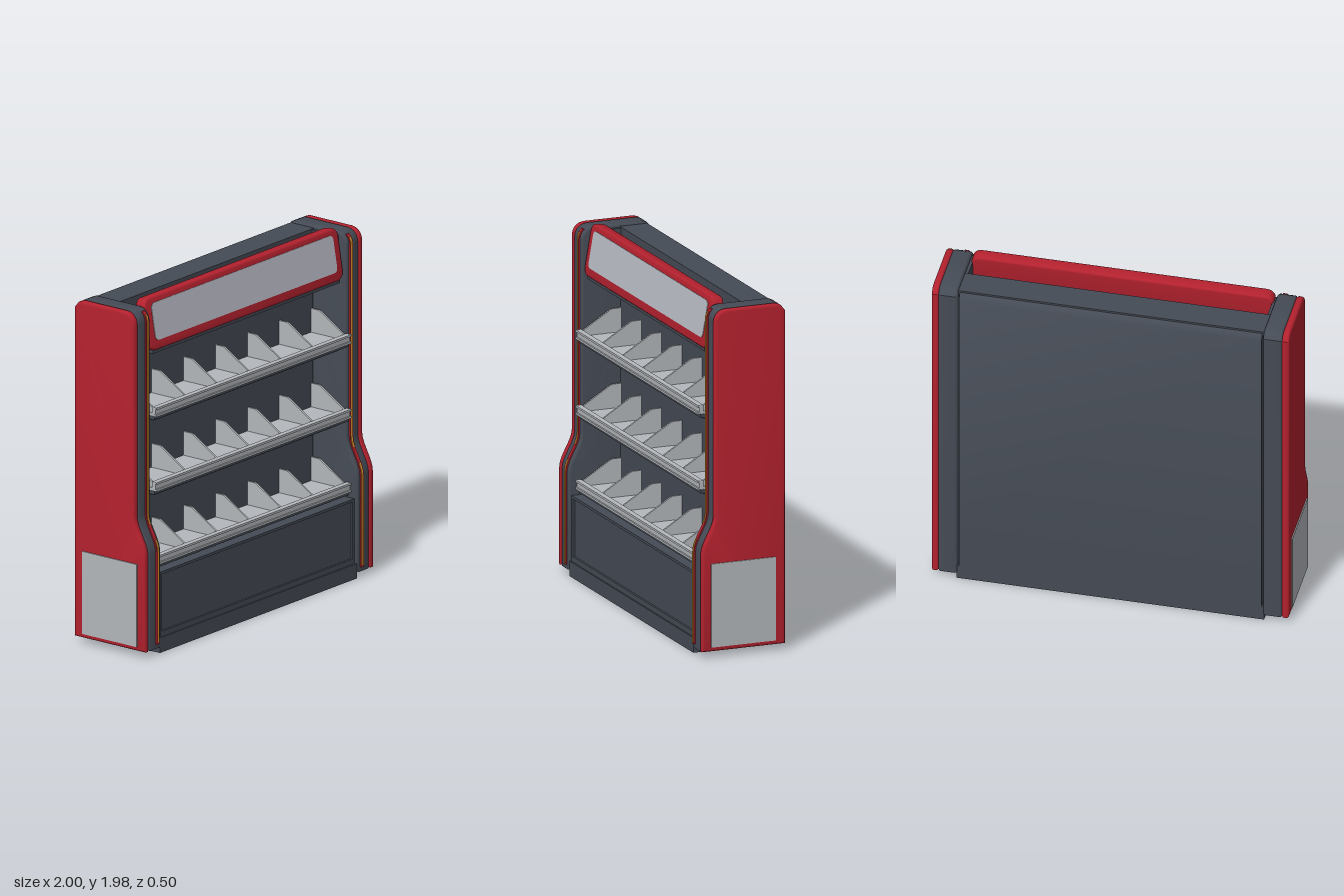
import * as THREE from 'three';
import { toCreasedNormals } from 'three/addons/utils/BufferGeometryUtils.js';
import { RoundedBoxGeometry } from 'three/addons/geometries/RoundedBoxGeometry.js';

const material = (name, color) => {
  const m = new THREE.MeshStandardMaterial({ color });
  m.name = name;
  return m;
};

export function createModel() {
  const model = new THREE.Group();
  model.name = 'displayShelf';
  const red = material('red', 0xb3212e);
  const dark = material('charcoal', 0x454b55);
  const light = material('lightGrey', 0xb4b7bb);
  const signGrey = material('signGrey', 0xb9bbc4);
  const amber = material('amber', 0xe09a2c);

  const add = (name, geometry, mat, parent = model) => {
    const mesh = new THREE.Mesh(geometry, mat);
    mesh.name = name;
    parent.add(mesh);
    return mesh;
  };

  // box given by its limits on each axis
  const box = (name, mat, [x0, x1], [y0, y1], [z0, z1], parent = model, r = 0) => {
    const size = [x1 - x0, y1 - y0, z1 - z0];
    const g = r ? new RoundedBoxGeometry(...size, 2, r) : new THREE.BoxGeometry(...size);
    const mesh = add(name, g, mat, parent);
    mesh.position.set((x0 + x1) / 2, (y0 + y1) / 2, (z0 + z1) / 2);
    return mesh;
  };

  // side outline of [z, y] points extruded across x0..x1
  const slab = (points, x0, x1, bevel = 0) => {
    const shape = new THREE.Shape(points.map(([z, y]) => new THREE.Vector2(z, y)));
    const g = new THREE.ExtrudeGeometry(shape, {
      depth: x1 - x0 - 2 * bevel, bevelEnabled: bevel > 0,
      bevelSize: bevel, bevelThickness: bevel, bevelOffset: -bevel, bevelSegments: 3,
    });
    g.rotateY(-Math.PI / 2);
    g.translate(x1 - bevel, 0, 0);
    return toCreasedNormals(g, 0.6);
  };

  const roundedRect = (w, h, r) => {
    const x = w / 2, y = h / 2, s = new THREE.Shape();
    s.absarc(x - r, y - r, r, 0, Math.PI / 2);
    s.absarc(-x + r, y - r, r, Math.PI / 2, Math.PI);
    s.absarc(-x + r, -y + r, r, Math.PI, Math.PI * 1.5);
    s.absarc(x - r, -y + r, r, Math.PI * 1.5, Math.PI * 2);
    s.closePath();
    return s;
  };

  // front edge of the side towers: deep foot, smooth step, rounded top
  const frontZ = (y) => {
    if (y > 1.88) return 0.095 + Math.sqrt(Math.max(0, 0.07 ** 2 - (y - 1.88) ** 2));
    return 0.24 - 0.075 * THREE.MathUtils.smoothstep(y, 0.58, 0.79);
  };
  const frontLine = (y0, y1, offset) => {
    const ys = [y0, 0.58, 0.61, 0.64, 0.67, 0.7, 0.73, 0.76, 0.79, 1.88, 1.9, 1.92, 1.935, 1.945, y1];
    return ys.filter((y, i) => i === 0 || i === ys.length - 1 || (y > y0 && y < y1))
      .map((y) => [frontZ(y) + offset, y]);
  };
  const towerOutline = [
    [-0.25, 0.035], ...frontLine(0.035, 1.95, 0), [-0.2, 1.95], [-0.225, 1.94], [-0.25, 1.91],
  ];
  const band = (y0, y1, offset, x0, x1) => {
    const line = frontLine(y0, y1, offset);
    return slab([...line, ...line.map(([z, y]) => [z - 0.03, y]).reverse()], x0, x1);
  };

  // side towers, built for the left and turned over for the right
  const mirror = (g, side) => {
    if (side > 0) return g;
    g.scale(-1, 1, 1);
    for (const key of ['position', 'normal']) {
      const a = g.attributes[key].array;
      for (let i = 0; i < a.length; i += 9) {
        for (let k = 0; k < 3; k++) [a[i + 3 + k], a[i + 6 + k]] = [a[i + 6 + k], a[i + 3 + k]];
      }
    }
    return g;
  };
  for (const side of [1, -1]) {
    const tower = new THREE.Group();
    tower.name = side > 0 ? 'leftTower' : 'rightTower';
    model.add(tower);
    const part = (name, g, mat) => add(name, mirror(g, side), mat, tower);
    part('towerCore', slab(towerOutline, 0.849, 0.957, 0.014), dark);
    part('outerPanel', slab(towerOutline, 0.953, 0.994, 0.014), red);
    part('lightRail', band(0.06, 1.935, 0.008, 0.873, 0.897), red);
    part('lowerLight', band(0.07, 0.65, 0.011, 0.877, 0.889), amber);
    part('upperLight', band(0.73, 1.92, 0.011, 0.877, 0.889), amber);
    const sx = (a, b) => (side > 0 ? [a, b] : [-b, -a]);
    box('sidePlate', light, sx(0.991, 1), [0.06, 0.53], [-0.19, 0.19], tower);
    box('headerMount', dark, sx(0.832, 0.862), [1.84, 1.93], [-0.2, 0.11], tower);
  }

  // base, hollow back and cabinet
  box('base', dark, [-0.855, 0.855], [0, 0.085], [-0.245, 0.235]);
  add('backPanel', slab([
    [-0.25, 0.335], [-0.06, 0.335], [-0.06, 1.93], [-0.215, 1.93], [-0.23, 1.92], [-0.25, 1.89],
  ], -0.841, 0.841), dark);
  box('lowerBackPanel', dark, [-0.841, 0.841], [0.085, 0.335], [-0.246, -0.06]);
  box('backTopCap', dark, [-0.855, 0.855], [1.9, 1.936], [-0.222, -0.06]);
  box('cabinet', dark, [-0.841, 0.841], [0.085, 0.455], [-0.06, 0.215]);
  const frame = new THREE.Shape();
  frame.moveTo(-0.841, 0.085).lineTo(0.841, 0.085).lineTo(0.841, 0.455).lineTo(-0.841, 0.455);
  const opening = new THREE.Path();
  opening.moveTo(-0.825, 0.115).lineTo(-0.825, 0.44).lineTo(0.825, 0.44).lineTo(0.825, 0.115);
  frame.holes.push(opening);
  add('cabinetFrame', new THREE.ExtrudeGeometry(frame, { depth: 0.012, bevelEnabled: false }), dark)
    .position.z = 0.215;

  // shelves with dividers, front rail and light below
  [0.54, 0.96, 1.385].forEach((top, level) => {
    const shelf = new THREE.Group();
    shelf.name = 'shelf' + (level + 1);
    model.add(shelf);
    const w = [-0.841, 0.841];
    box('shelfFloor', light, w, [top - 0.05, top - 0.035], [-0.06, 0.17], shelf);
    box('shelfUnderside', dark, w, [top - 0.073, top - 0.05], [-0.06, 0.185], shelf);
    box('priceRail', light, [-0.845, 0.845], [top - 0.052, top], [0.168, 0.195], shelf, 0.005);
    for (const y of [top - 0.012, top - 0.052]) {
      box('railEdge', light, [-0.845, 0.845], [y, y + 0.012], [0.19, 0.204], shelf);
    }
    box('lightHousing', dark, [-0.8, 0.8], [top - 0.092, top - 0.073], [0.06, 0.15], shelf);
    if (level > 0) {
      box('shelfLight', amber, [-0.79, 0.79], [top - 0.097, top - 0.09], [0.08, 0.13], shelf);
    }
    for (let i = -3; i <= 3; i++) {
      const x = i * 0.2765;
      add('divider', slab([
        [-0.06, top - 0.04], [0.168, top - 0.04], [0.168, top - 0.005],
        [0.005, top + 0.095], [-0.01, top + 0.1], [-0.06, top + 0.1],
      ], x - 0.006, x + 0.006), light, shelf);
    }
  });

  // tilted header with its sign plate
  const header = new THREE.Group();
  header.name = 'header';
  header.position.set(0, 1.832, 0.101);
  header.rotation.x = -0.17;
  model.add(header);
  const body = new THREE.ExtrudeGeometry(roundedRect(1.68, 0.293, 0.05), {
    depth: 0.046, bevelSize: 0.012, bevelThickness: 0.012, bevelOffset: -0.012,
    bevelSegments: 3, curveSegments: 8,
  });
  body.translate(0, 0, -0.023);
  add('headerBody', toCreasedNormals(body, 0.6), red, header);
  const plate = new THREE.ExtrudeGeometry(roundedRect(1.575, 0.208, 0.028), {
    depth: 0.006, bevelEnabled: false, curveSegments: 6,
  });
  add('signPlate', plate, signGrey, header).position.set(0, 0.008, 0.032);
  box('headerLightHousing', dark, [-0.81, 0.81], [1.675, 1.7], [0.08, 0.15]);
  box('headerLight', amber, [-0.8, 0.8], [1.67, 1.677], [0.09, 0.14]);

  return model;
}
